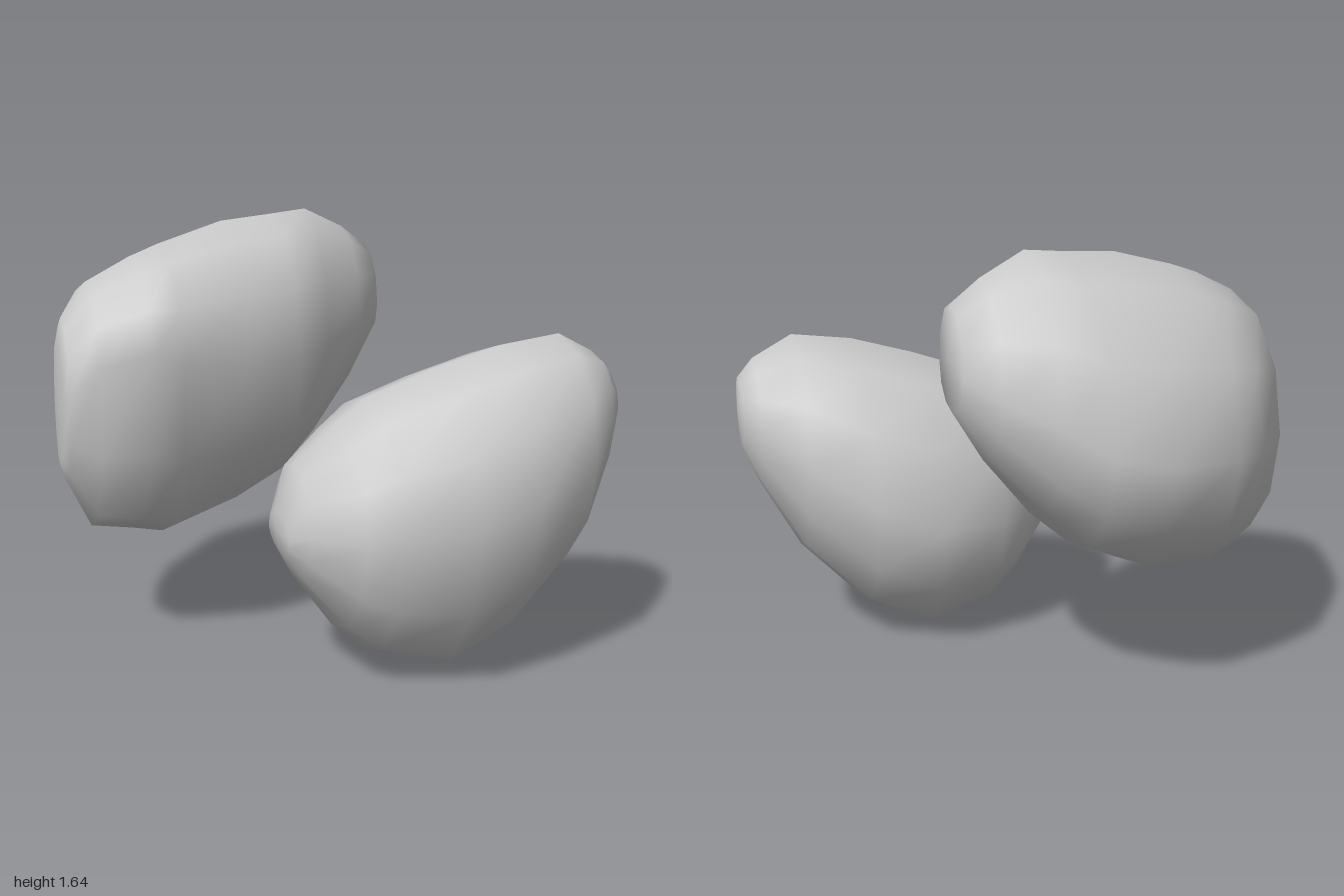
import * as THREE from 'three';

const SIDES = 12;

// Cross-sections along x: [x, yBottom, yTop, zBack, zFront, yAtFront, yAtBack, zAtTop, zAtBottom]
const REAR = [
  [-0.99, 0.75, 1.22, -0.14, 0.10, 1.00, 0.95, -0.03, -0.08],
  [-0.97, 0.68, 1.30, -0.20, 0.14, 1.05, 0.95, -0.04, -0.10],
  [-0.87, 0.47, 1.42, -0.54, 0.20, 1.15, 0.95, -0.08, -0.15],
  [-0.70, 0.43, 1.50, -0.74, 0.28, 1.20, 0.95, -0.12, -0.19],
  [-0.58, 0.40, 1.54, -0.81, 0.25, 1.15, 0.95, -0.16, -0.21],
  [-0.31, 0.46, 1.61, -0.90, 0.165, 1.12, 0.97, -0.25, -0.33],
  [-0.10, 0.56, 1.625, -0.86, 0.10, 1.12, 1.00, -0.31, -0.38],
  [0.06, 0.70, 1.64, -0.82, -0.03, 1.15, 1.10, -0.34, -0.42],
  [0.24, 0.92, 1.56, -0.69, -0.17, 1.20, 1.18, -0.41, -0.44],
  [0.35, 1.10, 1.48, -0.60, -0.27, 1.25, 1.25, -0.43, -0.44],
];
const FRONT = [
  [-0.30, 0.50, 0.64, 0.32, 0.58, 0.57, 0.56, 0.45, 0.45],
  [-0.25, 0.40, 0.82, 0.24, 0.66, 0.60, 0.56, 0.46, 0.44],
  [-0.10, 0.19, 0.95, 0.10, 0.82, 0.60, 0.53, 0.47, 0.43],
  [0.02, 0.08, 1.04, 0.01, 0.85, 0.61, 0.52, 0.47, 0.43],
  [0.28, 0.00, 1.13, -0.06, 0.90, 0.64, 0.52, 0.47, 0.43],
  [0.53, 0.11, 1.20, -0.04, 0.86, 0.70, 0.62, 0.48, 0.43],
  [0.77, 0.36, 1.23, 0.08, 0.80, 0.82, 0.78, 0.48, 0.44],
  [0.93, 0.65, 1.15, 0.22, 0.64, 0.92, 0.90, 0.45, 0.44],
  [0.99, 0.80, 1.08, 0.30, 0.56, 0.95, 0.95, 0.44, 0.44],
];

// Rings of four quarter-ellipses, skinned together and closed at both ends
function makePebble(name, sections) {
  const pos = [], index = [];
  for (const [x, yb, yt, zb, zf, yF, yB, zT, zU] of sections) {
    for (let j = 0; j < SIDES; j++) {
      const a = (j / SIDES) * Math.PI * 2;
      const c = Math.cos(a), s = Math.sin(a);
      const cy = s >= 0 ? yF : yB, cz = c >= 0 ? zT : zU;
      pos.push(x, cy + Math.abs(c) * ((c >= 0 ? yt : yb) - cy), cz + Math.abs(s) * ((s >= 0 ? zf : zb) - cz));
    }
  }
  const last = sections.length - 1;
  for (let i = 0; i < last; i++) {
    for (let j = 0; j < SIDES; j++) {
      const k = (j + 1) % SIDES, a = i * SIDES, b = a + SIDES;
      index.push(a + j, a + k, b + j, a + k, b + k, b + j);
    }
  }
  // End caps, slightly domed
  for (const [i, out] of [[0, -0.005], [last, 0.01]]) {
    const [x, yb, yt, zb, zf] = sections[i];
    const centre = pos.length / 3;
    pos.push(x + out, (yb + yt) / 2, (zb + zf) / 2);
    for (let j = 0; j < SIDES; j++) {
      const p = i * SIDES + j, q = i * SIDES + ((j + 1) % SIDES);
      if (i === 0) index.push(centre, q, p);
      else index.push(centre, p, q);
    }
  }
  const geo = new THREE.BufferGeometry();
  geo.setAttribute('position', new THREE.Float32BufferAttribute(pos, 3));
  geo.setIndex(index);
  geo.computeVertexNormals();
  const mesh = new THREE.Mesh(geo, new THREE.MeshStandardMaterial({ color: 0xcccccc }));
  mesh.name = name;
  return mesh;
}

export function createModel() {
  const group = new THREE.Group();
  group.name = 'pebbles';
  group.add(makePebble('rearPebble', REAR), makePebble('frontPebble', FRONT));
  return group;
}
